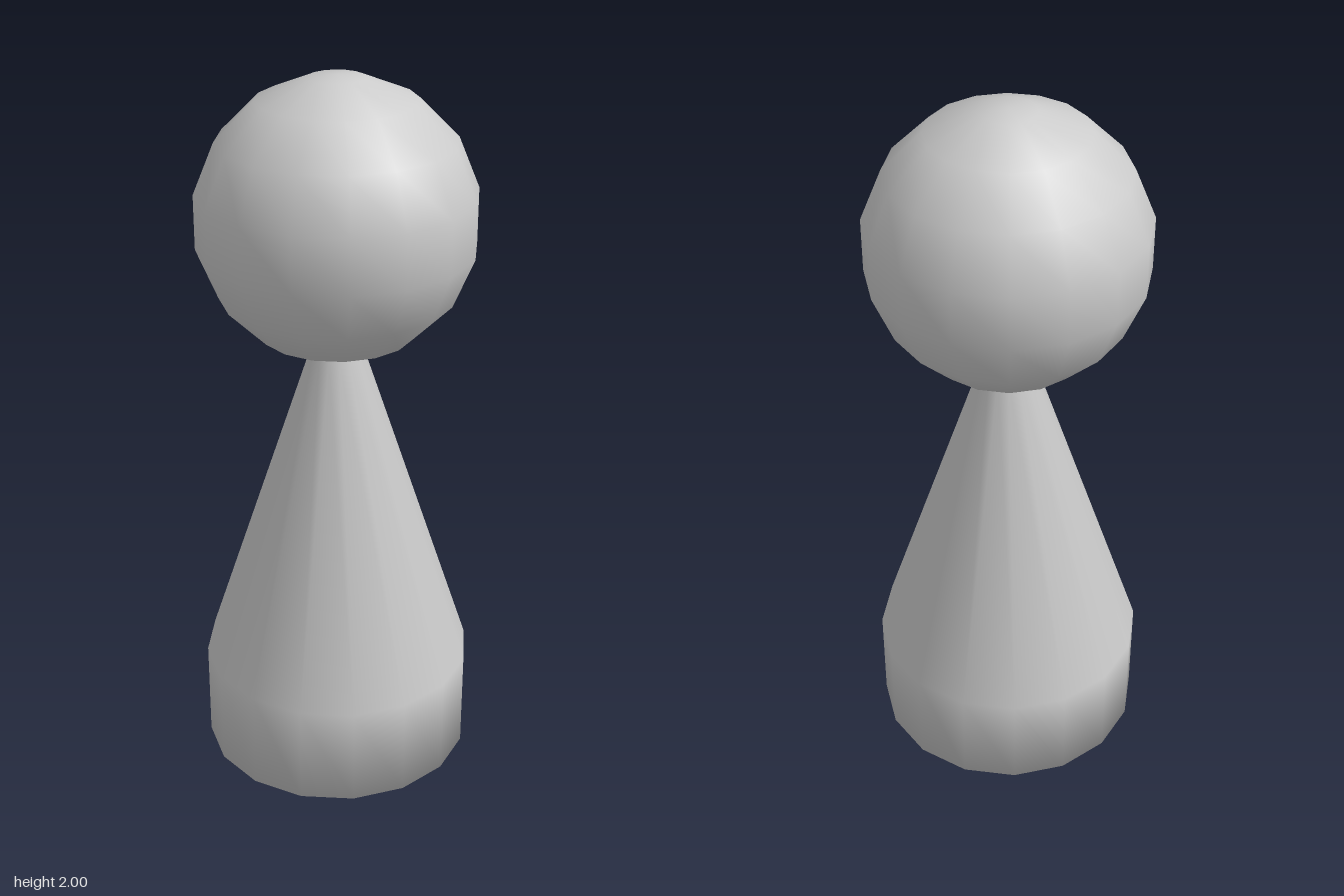
import * as THREE from 'three';
import { mergeVertices } from 'three/addons/utils/BufferGeometryUtils.js';

const SIDES = 16;
const BASE_RADIUS = 0.387, SHOULDER_Y = 0.29;
const HEAD_RADIUS = 0.385, HEAD_Y = 1.616;
const BASE_TWIST = THREE.MathUtils.degToRad(2);

// Outline from the underside, up the base and cone, around the ball head
function pawnProfile() {
  const points = [
    new THREE.Vector2(0, 0),
    new THREE.Vector2(BASE_RADIUS, 0),
    new THREE.Vector2(BASE_RADIUS, SHOULDER_Y),
  ];
  // Head rings; the lowest one is also the neck
  for (let i = 0; i < 8; i++) {
    const a = ((i + 0.5) / 8) * Math.PI;
    points.push(new THREE.Vector2(HEAD_RADIUS * Math.sin(a), HEAD_Y - HEAD_RADIUS * Math.cos(a)));
  }
  points.push(new THREE.Vector2(0, 2));
  return points;
}

export function createModel() {
  let geometry = new THREE.LatheGeometry(pawnProfile(), SIDES);

  // The base rings are turned slightly against the head
  const position = geometry.attributes.position;
  const v = new THREE.Vector3();
  const up = new THREE.Vector3(0, 1, 0);
  for (let i = 0; i < position.count; i++) {
    v.fromBufferAttribute(position, i);
    if (v.y < 0.5) v.applyAxisAngle(up, BASE_TWIST);
    position.setXYZ(i, v.x, v.y, v.z);
  }

  // Weld the seam so shading is smooth over the whole surface
  geometry.deleteAttribute('normal');
  geometry.deleteAttribute('uv');
  geometry = mergeVertices(geometry, 1e-4);
  geometry.computeVertexNormals();

  const pawn = new THREE.Mesh(geometry, new THREE.MeshStandardMaterial({ color: 0xcccccc }));
  pawn.name = 'pawnBodyAndHead';

  const group = new THREE.Group();
  group.name = 'pawn';
  group.add(pawn);
  return group;
}
